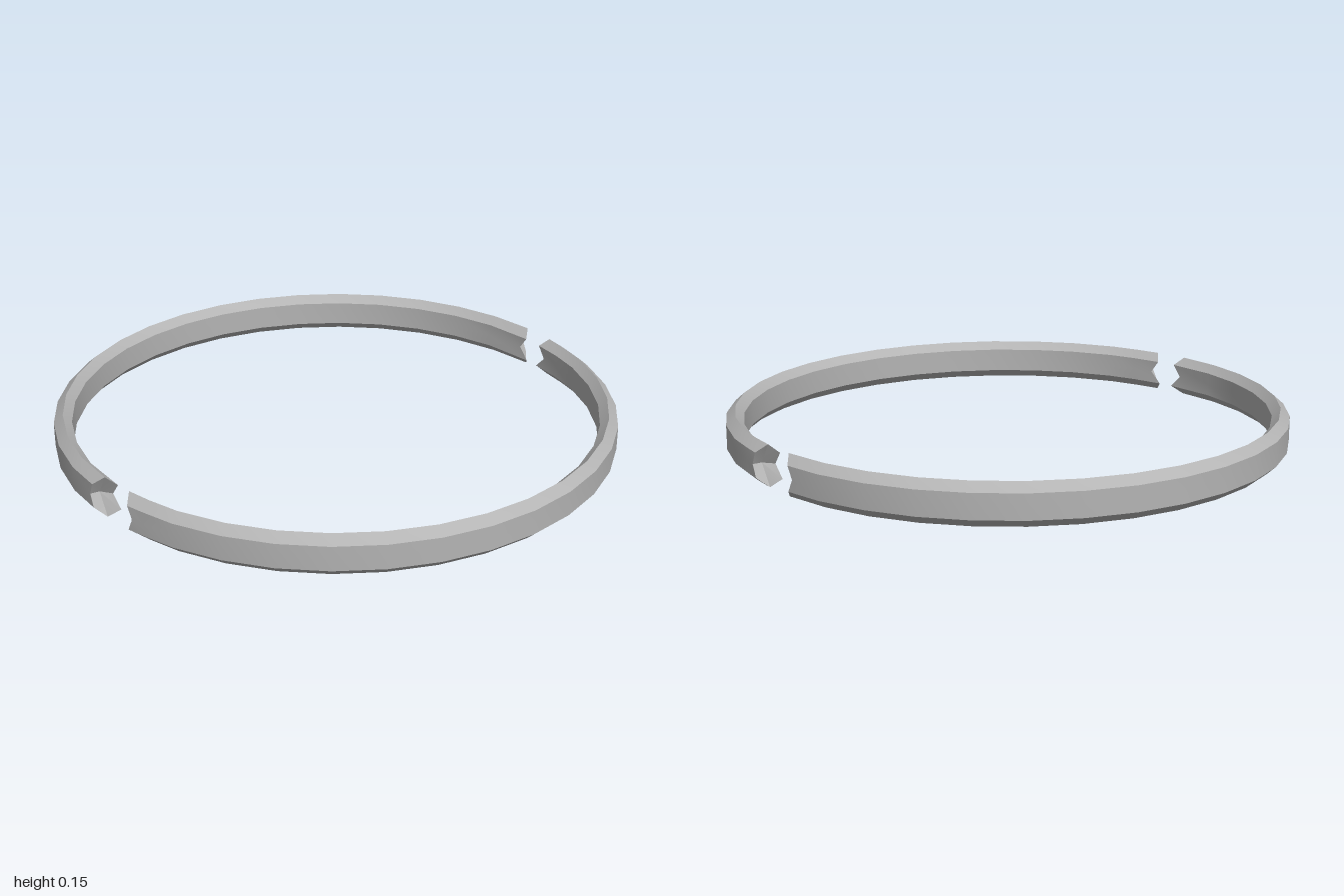
import * as THREE from 'three';
import { toCreasedNormals } from 'three/addons/utils/BufferGeometryUtils.js';

const RAD = Math.PI / 180;
const GAP_Z = 0.063; // middle of both gaps between the half rings

// Cross-section [radius, height, distance of the end from the middle of the gap]
const PROFILE = [
  [1.0, 0.03, 0.096], [1.0, 0.073, 0.116], [1.0, 0.117, 0.096],
  [0.967, 0.146, 0.064],
  [0.937, 0.117, 0.038], [0.937, 0.073, 0.07], [0.937, 0.03, 0.028],
  [0.967, 0, 0.062],
];
const SOCKET = [0.967, 0.073, 0.11]; // deepest point of the hollowed end

// Point on a 36-sided circle
function onRing(r, y, deg) {
  const local = (((deg % 10) + 10) % 10) - 5;
  const q = r * Math.cos(5 * RAD) / Math.cos(local * RAD);
  return [q * Math.cos(deg * RAD), y, q * Math.sin(deg * RAD)];
}

// side: 1 for the front half, -1 for the back half
function halfRing(side) {
  const endAngle = ([r, , d]) => Math.asin((GAP_Z + side * d) / r) / RAD;
  const startDeg = (p) => (side > 0 ? endAngle(p) : 180 - endAngle(p));
  const endDeg = (p) => (side > 0 ? 180 - endAngle(p) : 360 + endAngle(p));
  const section = (angle) => PROFILE.map((p) => onRing(p[0], p[1], angle(p)));

  const inner = [];
  if (side > 0) {
    inner.push(13);
    for (let a = 20; a <= 160; a += 10) inner.push(a);
    inner.push(167);
  } else {
    for (let a = 190; a <= 350; a += 10) inner.push(a);
  }
  const rings = [section(startDeg), ...inner.map((a) => section(() => a)), section(endDeg)];

  const pos = [];
  const tri = (a, b, c) => pos.push(...a, ...b, ...c);
  const n = PROFILE.length;
  const last = rings.length - 1;
  const startSocket = onRing(SOCKET[0], SOCKET[1], startDeg(SOCKET));
  const endSocket = onRing(SOCKET[0], SOCKET[1], endDeg(SOCKET));
  for (let j = 0; j < n; j++) {
    const k = (j + 1) % n;
    // walls
    for (let i = 0; i < last; i++) {
      const [a, b] = [rings[i], rings[i + 1]];
      tri(a[j], a[k], b[k]);
      tri(a[j], b[k], b[j]);
    }
    // hollowed ends
    tri(startSocket, rings[0][k], rings[0][j]);
    tri(endSocket, rings[last][j], rings[last][k]);
  }
  const geo = new THREE.BufferGeometry();
  geo.setAttribute('position', new THREE.Float32BufferAttribute(pos, 3));
  return toCreasedNormals(geo, 30 * RAD);
}

export function createModel() {
  const model = new THREE.Group();
  model.name = 'splitRing';
  const metal = new THREE.MeshStandardMaterial({ color: 0xb4b4b4 });
  metal.name = 'grey metal';
  for (const [name, side] of [['frontHalfRing', 1], ['backHalfRing', -1]]) {
    const mesh = new THREE.Mesh(halfRing(side), metal);
    mesh.name = name;
    model.add(mesh);
  }
  return model;
}
